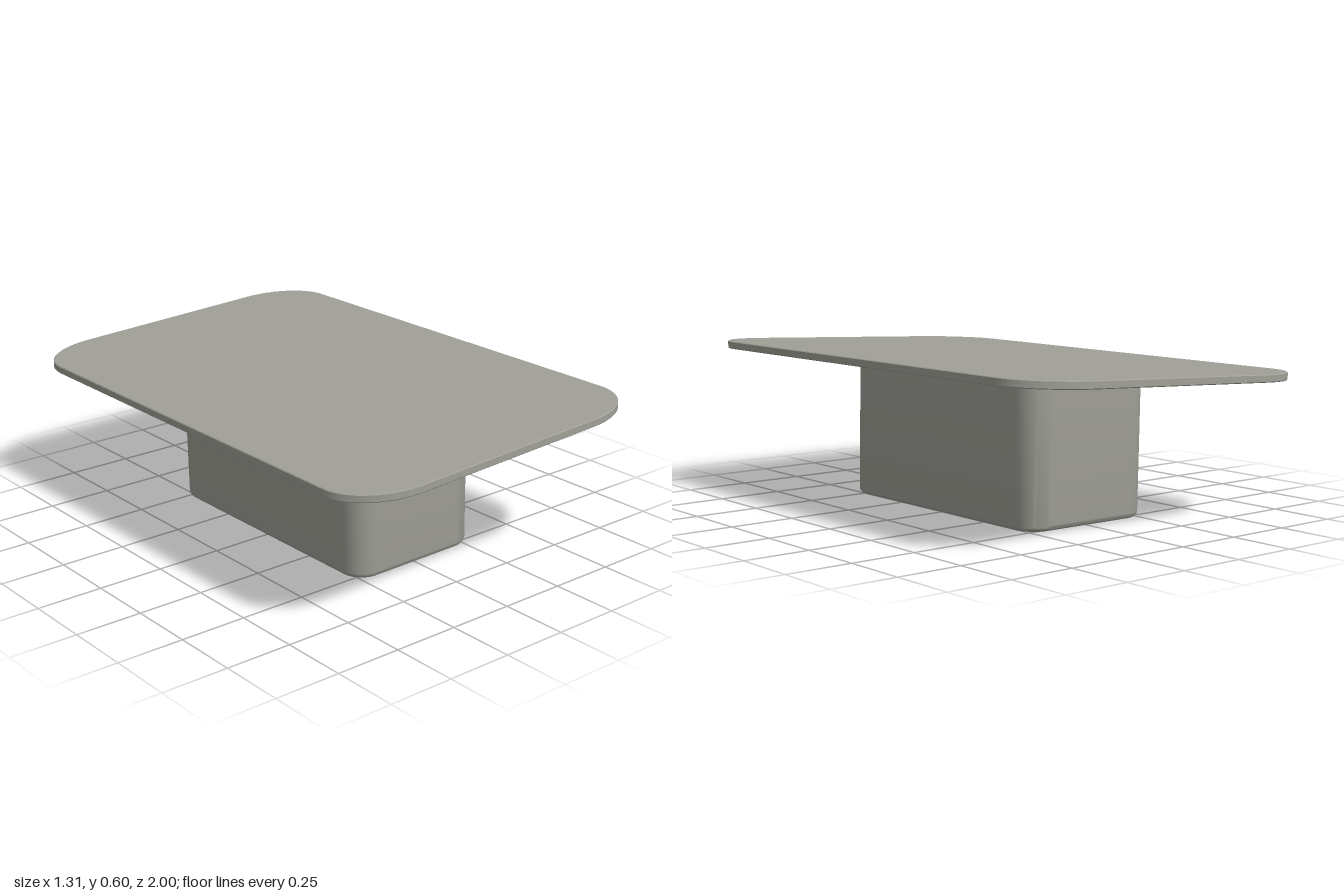
import * as THREE from 'three';
import { toCreasedNormals } from 'three/addons/utils/BufferGeometryUtils.js';

const CORNER_STEPS = 12;

// Outline of a rounded rectangle, shrunk evenly by inset
function outline(halfX, halfZ, radiusX, radiusZ, inset) {
  const points = [];
  const rx = Math.max(radiusX - inset, 0.01), rz = Math.max(radiusZ - inset, 0.01);
  for (let corner = 0; corner < 4; corner++) {
    const sx = corner === 0 || corner === 3 ? 1 : -1;
    const sz = corner < 2 ? 1 : -1;
    for (let i = 0; i <= CORNER_STEPS; i++) {
      const a = (corner + i / CORNER_STEPS) * Math.PI / 2;
      points.push([
        sx * (halfX - inset - rx) + rx * Math.cos(a),
        sz * (halfZ - inset - rz) + rz * Math.sin(a),
      ]);
    }
  }
  return points;
}

// Closed block lofted from the bottom centre to the top centre; levels are [inset, y]
function roundedBlock(halfX, halfZ, radiusX, radiusZ, levels, warp) {
  const rings = levels.map(([inset, y]) =>
    outline(halfX, halfZ, radiusX, radiusZ, inset).map(([x, z]) => warp(x, y, z)));
  const centre = (y, n) => Array.from({ length: n }, () => warp(0, y, 0));
  const count = rings[0].length;
  rings.unshift(centre(levels[0][1], count));
  rings.push(centre(levels[levels.length - 1][1], count));

  const positions = [];
  for (let r = 0; r < rings.length - 1; r++) {
    for (let j = 0; j < count; j++) {
      const k = (j + 1) % count;
      const a = rings[r][j], b = rings[r][k], c = rings[r + 1][j], d = rings[r + 1][k];
      if (r > 0) positions.push(...a, ...c, ...b);
      if (r < rings.length - 2) positions.push(...b, ...c, ...d);
    }
  }
  const geometry = new THREE.BufferGeometry();
  geometry.setAttribute('position', new THREE.Float32BufferAttribute(positions, 3));
  return toCreasedNormals(geometry, 0.7);
}

export function createModel() {
  const group = new THREE.Group();
  const stone = new THREE.MeshStandardMaterial({ color: 0xa0a098 });
  stone.name = 'warm grey';

  // Thin tabletop, sloping up towards +x
  const slope = 0.046;
  const top = new THREE.Mesh(
    roundedBlock(0.653, 1, 0.25, 0.2,
      [[0.003, 0.544], [0, 0.547], [0, 0.570], [0.003, 0.573]],
      (x, y, z) => [x, y + slope * x, z]),
    stone);
  top.name = 'tableTop';
  group.add(top);

  // Pedestal leaning slightly, with rounded foot and a shallow panel underneath
  const foot = [[0.036, 0.008], [0.031, 0.003]];
  const fillet = 0.022;
  for (let i = 0; i <= 5; i++) {
    const a = i / 5 * Math.PI / 2;
    foot.push([fillet * (1 - Math.sin(a)), 0.003 + fillet * (1 - Math.cos(a))]);
  }
  const pedestal = new THREE.Mesh(
    roundedBlock(0.283, 0.546, 0.09, 0.09, [...foot, [0, 0.555]],
      (x, y, z) => [
        x + 0.003 - 0.02 * y,
        y + (0.008 + (slope - 0.008) * y / 0.555) * x,
        z,
      ]),
    stone);
  pedestal.name = 'pedestal';
  group.add(pedestal);

  return group;
}
